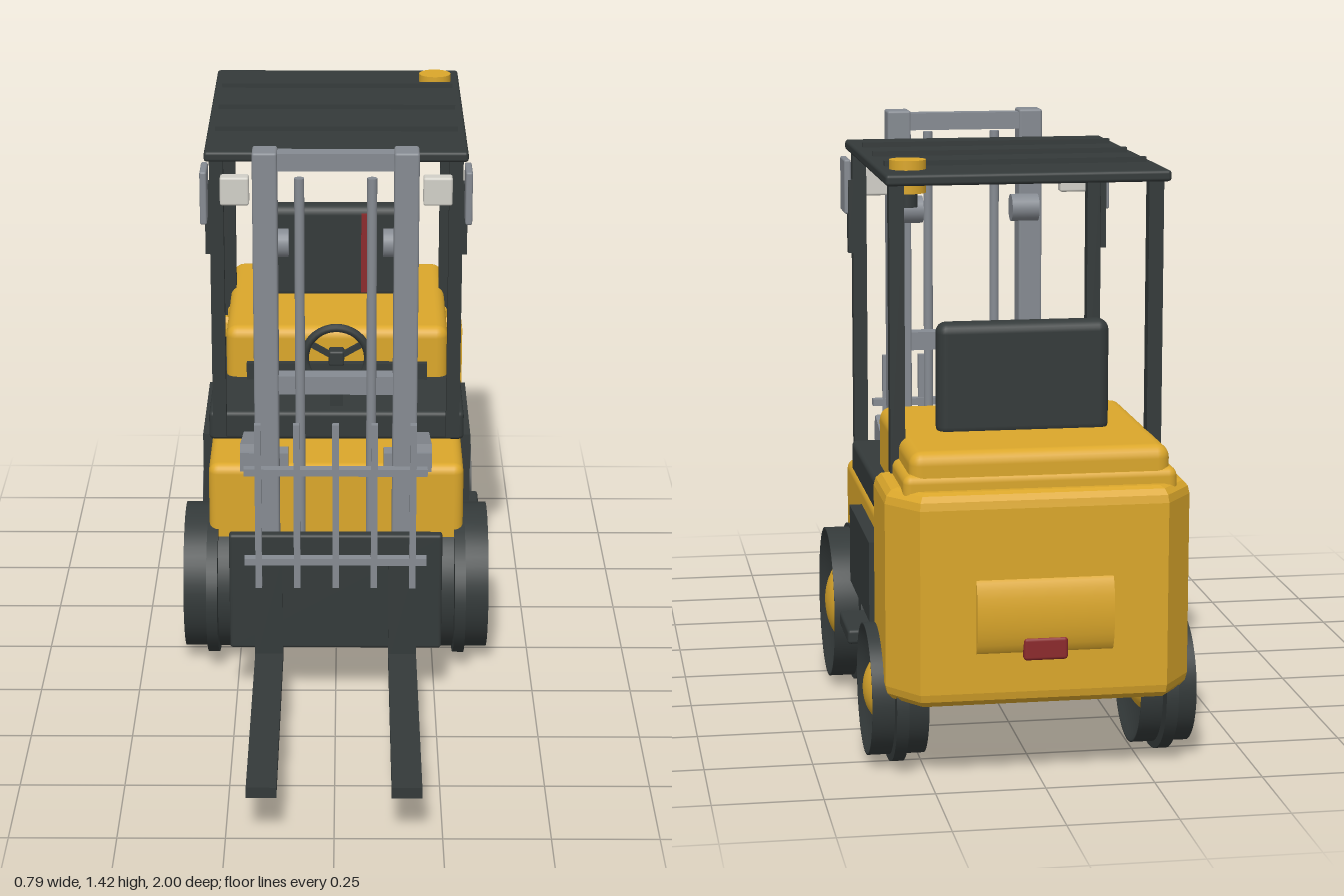
import * as THREE from 'three';
import { RoundedBoxGeometry } from 'three/addons/geometries/RoundedBoxGeometry.js';

const mat = (name, color) => {
  const m = new THREE.MeshStandardMaterial({ color });
  m.name = name;
  return m;
};

export function createModel() {
  const model = new THREE.Group();
  model.name = 'forklift';
  const yellow = mat('yellow paint', 0xdba72b);
  const dark = mat('dark rubber', 0x343a3a);
  const grey = mat('grey steel', 0x868b92);
  const white = mat('lamp white', 0xd2d0c8);
  const red = mat('red', 0x8c2a2c);

  const add = (name, geometry, material, parent = model) => {
    const mesh = new THREE.Mesh(geometry, material);
    mesh.name = name;
    parent.add(mesh);
    return mesh;
  };
  // box given by its limits on each axis, with optional rounded edges
  const box = (name, material, [x0, x1], [y0, y1], [z0, z1], r = 0) => {
    const s = [x1 - x0, y1 - y0, z1 - z0];
    const g = r ? new RoundedBoxGeometry(...s, 3, r) : new THREE.BoxGeometry(...s);
    const mesh = add(name, g, material);
    mesh.position.set((x0 + x1) / 2, (y0 + y1) / 2, (z0 + z1) / 2);
    return mesh;
  };
  // the same box on both sides
  const pair = (name, material, [x0, x1], y, z, r = 0) => {
    box(name + 'Left', material, [x0, x1], y, z, r);
    box(name + 'Right', material, [-x1, -x0], y, z, r);
  };
  const rod = (name, material, r, length, x, y, z, axis = 'y') => {
    const mesh = add(name, new THREE.CylinderGeometry(r, r, length, 24), material);
    mesh.position.set(x, y, z);
    if (axis === 'x') mesh.rotation.z = Math.PI / 2;
    return mesh;
  };

  // chassis, hood and floor
  box('chassis', yellow, [-0.325, 0.325], [0.245, 0.547], [-0.8, 0.07], 0.025);
  box('hood', yellow, [-0.295, 0.295], [0.5, 0.765], [-0.93, -0.36], 0.03);
  box('hoodRim', yellow, [-0.31, 0.31], [0.6, 0.715], [-0.935, -0.7], 0.02);
  box('floor', dark, [-0.33, 0.33], [0.55, 0.627], [-0.69, -0.1], 0.012);
  box('kickPanel', dark, [-0.24, 0.24], [0.62, 0.672], [-0.365, -0.34]);
  pair('sidePanel', dark, [0.3, 0.355], [0.31, 0.5], [-0.655, -0.265]);
  box('step', dark, [0.24, 0.387], [0.21, 0.245], [-0.49, -0.305], 0.008);

  // counterweight: plan outline with cut corners, raised and bevelled
  const plan = new THREE.Shape([[-0.317, 0.72], [0.317, 0.72], [0.317, 0.88], [0.265, 0.95], [-0.265, 0.95], [-0.317, 0.88]]
    .map(([x, y]) => new THREE.Vector2(x, y)));
  const weight = new THREE.ExtrudeGeometry(plan, {
    depth: 0.42, bevelEnabled: true, bevelThickness: 0.035, bevelSize: 0.03, bevelSegments: 3,
  });
  weight.rotateX(-Math.PI / 2);
  add('counterweight', weight, yellow).position.y = 0.225;

  // bulged rear panel and tail light
  const panel = rod('rearPanel', yellow, 1, 0.31, 0, 0.4, -0.97, 'x');
  panel.scale.set(0.09, 1, 0.03);
  box('tailLight', red, [-0.05, 0.05], [0.3, 0.352], [-0.999, -0.97], 0.008);

  // wheels: tyre, wide oval disc and domed hub
  const wheel = (name, side, y, z, r, hubR, x, half, ovalZ) => {
    const g = new THREE.Group();
    g.name = name;
    g.position.set(side * x, y, z);
    model.add(g);
    const profile = [[0.01, -0.4], [0.56, -0.4], [0.9, -0.85], [0.97, -1], [1, -1], [1, 1], [0.97, 1], [0.9, 0.85], [0.56, 0.4], [0.01, 0.4]]
      .map(([a, b]) => new THREE.Vector2(a * r, b * half));
    const tyre = add('tyre', new THREE.LatheGeometry(profile, 48), dark, g);
    tyre.rotation.z = Math.PI / 2;
    const oval = add('ovalDisc', new THREE.CylinderGeometry(1, 1, 0.028, 48), dark, g);
    oval.rotation.z = Math.PI / 2;
    oval.scale.set(y - 0.003, 1, ovalZ);
    const hub = add('hub', new THREE.SphereGeometry(1, 32, 20), yellow, g);
    hub.scale.set(half + 0.004, hubR, hubR);
  };
  for (const [label, s] of [['Left', 1], ['Right', -1]]) {
    wheel('frontWheel' + label, s, 0.198, -0.04, 0.188, 0.117, 0.316, 0.074, 0.24);
    wheel('rearWheel' + label, s, 0.17, -0.72, 0.153, 0.088, 0.31, 0.065, 0.192);
  }

  // mast with cross beams, lift rods and rollers
  pair('mastRail', grey, [0.14, 0.2], [0.05, 1.42], [0.175, 0.245], 0.006);
  for (const [y0, y1] of [[1.37, 1.413], [0.8, 0.847], [0.16, 0.21]])
    box('mastBeam', grey, [-0.15, 0.15], [y0, y1], [0.18, 0.225]);
  for (const s of [-1, 1]) {
    rod('liftRod', grey, 0.012, 1.06, s * 0.087, 0.83, 0.247);
    for (const y of [0.355, 1.17]) rod('mastRoller', grey, 0.035, 0.07, s * 0.15, y, 0.158, 'x');
    const arm = box('tiltArm', grey, [s * 0.21 - 0.03, s * 0.21 + 0.03], [0.555, 0.605], [-0.11, 0.16]);
    arm.rotation.x = -0.26;
  }
  pair('tiltBracket', grey, [0.12, 0.24], [0.57, 0.62], [0.12, 0.165]);

  // carriage, forks and load backrest
  box('carriage', dark, [-0.265, 0.265], [0.145, 0.455], [0.268, 0.298], 0.008);
  pair('forkShank', dark, [0.132, 0.202], [0.108, 0.4], [0.283, 0.308]);
  pair('fork', dark, [0.132, 0.202], [0.108, 0.135], [0.285, 1]);
  for (let i = -2; i <= 2; i++)
    box('backrestBar', grey, [i * 0.095 - 0.008, i * 0.095 + 0.008], [0.33, 0.763], [0.32, 0.338]);
  for (const y of [0.4, 0.638])
    box('backrestRail', grey, [-0.225, 0.225], [y - 0.009, y + 0.009], [0.314, 0.338]);

  // overhead guard
  box('roof', dark, [-0.325, 0.325], [1.338, 1.364], [-0.77, 0.04], 0.008);
  for (const z of [-0.585, -0.37, -0.16])
    box('roofRib', dark, [-0.305, 0.305], [1.36, 1.376], [z - 0.008, z + 0.008]);
  pair('frontPost', dark, [0.28, 0.314], [0.6, 1.345], [-0.028, 0.006]);
  pair('rearPost', dark, [0.28, 0.314], [0.68, 1.345], [-0.74, -0.706]);

  // work lamps, mirrors and beacon
  pair('workLamp', white, [0.215, 0.287], [1.226, 1.298], [0, 0.038], 0.006);
  pair('mirror', grey, [0.318, 0.335], [1.185, 1.32], [-0.03, 0.065], 0.005);
  pair('mirrorArm', dark, [0.312, 0.326], [1.088, 1.27], [-0.036, -0.004]);
  rod('beacon', yellow, 0.042, 0.075, 0.26, 1.348, -0.648);
  rod('beaconBase', dark, 0.023, 0.035, 0.26, 1.295, -0.648);

  // seat back with stripe
  box('seatBack', dark, [-0.2, 0.2], [0.75, 1.015], [-0.706, -0.642], 0.025);
  box('seatStripe', red, [0.065, 0.105], [0.77, 0.995], [-0.644, -0.638]);

  // steering wheel and column
  const steering = add('steeringWheel', new THREE.TorusGeometry(0.082, 0.011, 10, 36), dark);
  steering.position.set(0, 0.767, -0.127);
  for (let i = 0; i < 3; i++) {
    const spoke = new THREE.BoxGeometry(0.014, 0.08, 0.012).translate(0, 0.04, 0);
    add('spoke', spoke, dark, steering).rotation.z = Math.PI + i * Math.PI * 2 / 3;
  }
  box('steeringHub', dark, [-0.02, 0.02], [0.747, 0.787], [-0.16, -0.118], 0.006);
  box('steeringColumn', dark, [-0.017, 0.017], [0.55, 0.78], [-0.175, -0.145]);

  return model;
}
